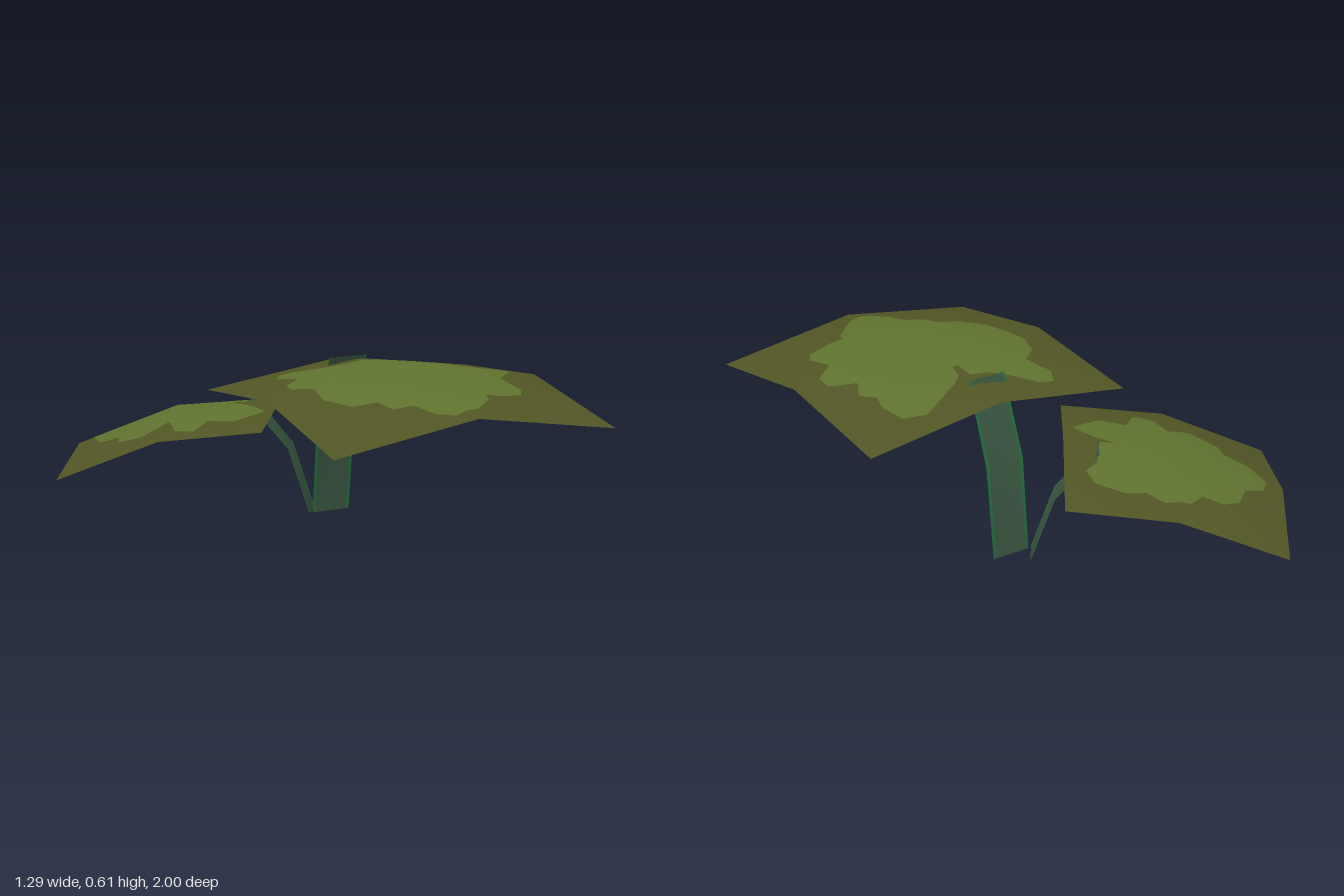
import * as THREE from 'three';

const paint = (name, color) => {
  const m = new THREE.MeshStandardMaterial({ color, side: THREE.DoubleSide });
  m.name = name;
  return m;
};

const mesh = (name, positions, index, material, normals) => {
  const g = new THREE.BufferGeometry();
  g.setAttribute('position', new THREE.Float32BufferAttribute(positions, 3));
  g.setIndex(index);
  if (normals) g.setAttribute('normal', new THREE.Float32BufferAttribute(normals, 3));
  else g.computeVertexNormals();
  const m = new THREE.Mesh(g, material);
  m.name = name;
  return m;
};

// Triangles from vertex 0 to a closed ring of n vertices, facing up
const fan = (n) => {
  const index = [];
  for (let i = 0; i < n; i++) index.push(0, 1 + ((i + 1) % n), 1 + i);
  return index;
};

// Folded leaf sheet: a centre point and eight rim points, with a pale patch on both faces
function makeLeaf(name, center, rim, outline, leafMat, patchMat) {
  const group = new THREE.Group();
  group.name = name;
  const blade = mesh('leafBlade', [center, ...rim].flat(), fan(rim.length), leafMat);
  group.add(blade);

  const P = blade.geometry.attributes.position, N = blade.geometry.attributes.normal;
  const at = (attr, i) => new THREE.Vector3().fromBufferAttribute(attr, i);

  // Point and normal on the folded sheet below (x, z)
  const drape = (x, z) => {
    const px = x - center[0], pz = z - center[2];
    for (let i = 0; i < rim.length; i++) {
      const i0 = 1 + i, i1 = 1 + ((i + 1) % rim.length);
      const c = at(P, 0), p = at(P, i0).sub(c), q = at(P, i1).sub(c);
      const det = p.x * q.z - p.z * q.x;
      const a = (px * q.z - pz * q.x) / det, b = (p.x * pz - p.z * px) / det;
      if (a < -1e-6 || b < -1e-6) continue;
      const mix = (attr) => at(attr, 0).multiplyScalar(1 - a - b)
        .addScaledVector(at(attr, i0), a).addScaledVector(at(attr, i1), b);
      return { point: mix(P), normal: mix(N).normalize() };
    }
    return { point: at(P, 0), normal: at(N, 0) };
  };

  // Subdivide the wavy outline so the patch follows the folds
  const samples = [drape(center[0], center[2])];
  const steps = 4;
  outline.forEach(([x, z], i) => {
    const [nx, nz] = outline[(i + 1) % outline.length];
    for (let s = 0; s < steps; s++) {
      const t = s / steps;
      samples.push(drape(x + (nx - x) * t, z + (nz - z) * t));
    }
  });
  const normals = samples.flatMap((s) => s.normal.toArray());
  for (const [part, lift] of [['upperPatch', 0.002], ['lowerPatch', -0.002]]) {
    const pos = samples.flatMap(({ point }) => [point.x, point.y + lift, point.z]);
    group.add(mesh(part, pos, fan(samples.length - 1), patchMat, normals));
  }
  return group;
}

// Bent ribbon stem: rows of [left, right] points, with a bright strip on each edge
function makeStem(name, rows, stemMat, edgeMat) {
  const group = new THREE.Group();
  group.name = name;
  const band = (part, t0, t1, material) => {
    const pos = [], index = [];
    rows.forEach(([l, r], i) => {
      const a = new THREE.Vector3(...l), b = new THREE.Vector3(...r);
      pos.push(...a.clone().lerp(b, t0).toArray(), ...a.clone().lerp(b, t1).toArray());
      if (i) {
        const k = 2 * i;
        index.push(k - 2, k - 1, k + 1, k - 2, k + 1, k);
      }
    });
    group.add(mesh(part, pos, index, material));
  };
  band('leftEdge', 0, 0.08, edgeMat);
  band('stemFace', 0.08, 0.92, stemMat);
  band('rightEdge', 0.92, 1, edgeMat);
  return group;
}

export function createModel() {
  const model = new THREE.Group();
  model.name = 'twoLeafPlant';
  const leafMat = paint('dark olive leaf', 0x525625);
  const patchMat = paint('pale green patch', 0x60742f);
  const stemMat = paint('grey green stem', 0x3a5641);
  const edgeMat = paint('bright green edge', 0x246b3c);

  // Large front leaf
  model.add(makeLeaf('largeLeaf', [0, 0.605, 0.35], [
    [-0.19, 0.47, -0.305], [0.23, 0.54, -0.07], [0.645, 0.473, 0.16], [0.41, 0.528, 0.575],
    [0.18, 0.45, 0.995], [-0.235, 0.525, 0.76], [-0.65, 0.45, 0.53], [-0.42, 0.527, 0.115],
  ], [
    [-0.05, -0.12], [0, -0.09], [0.03, 0], [0.07, 0.06], [0.13, 0.09], [0.1, 0.15], [0.12, 0.16],
    [0.15, 0.12], [0.2, 0.11], [0.38, 0.11], [0.43, 0.17], [0.4, 0.26], [0.36, 0.3], [0.37, 0.36],
    [0.31, 0.4], [0.36, 0.48], [0.33, 0.53], [0.22, 0.56], [0.18, 0.66], [0.13, 0.69], [0.04, 0.67],
    [0, 0.64], [-0.03, 0.67], [-0.16, 0.71], [-0.25, 0.69], [-0.27, 0.63], [-0.25, 0.54],
    [-0.3, 0.5], [-0.28, 0.43], [-0.34, 0.38], [-0.34, 0.27], [-0.29, 0.2], [-0.28, 0.1],
    [-0.22, 0.04], [-0.13, 0.02], [-0.11, -0.08],
  ], leafMat, patchMat));

  // Small back leaf
  model.add(makeLeaf('smallLeaf', [-0.05, 0.36, -0.55], [
    [0.105, 0.145, -1], [0.28, 0.285, -0.7], [0.435, 0.325, -0.39], [0.12, 0.395, -0.235],
    [-0.2, 0.36, -0.075], [-0.37, 0.32, -0.37], [-0.53, 0.18, -0.67], [-0.21, 0.215, -0.86],
  ], [
    [-0.19, -0.81], [-0.14, -0.82], [-0.08, -0.78], [0, -0.79], [0.06, -0.76], [0.09, -0.7],
    [0.16, -0.69], [0.22, -0.63], [0.21, -0.56], [0.25, -0.51], [0.26, -0.41], [0.22, -0.36],
    [0.16, -0.37], [0.05, -0.33], [0.03, -0.39], [0.02, -0.3], [0, -0.24], [-0.02, -0.2],
    [-0.14, -0.24], [-0.16, -0.33], [-0.26, -0.31], [-0.27, -0.38], [-0.2, -0.46], [-0.3, -0.5],
    [-0.3, -0.6], [-0.25, -0.64], [-0.26, -0.72],
  ], leafMat, patchMat));

  // Stems, from the ground up through the leaves
  model.add(makeStem('largeStem', [
    [[0.155, 0.005, -0.13], [0.275, 0.005, -0.065]],
    [[0.135, 0.315, -0.1], [0.255, 0.315, -0.03]],
    [[0.07, 0.57, 0], [0.19, 0.57, 0.065]],
  ], stemMat, edgeMat));
  model.add(makeStem('smallStem', [
    [[0.135, 0.005, -0.13], [0.225, 0, -0.172]],
    [[0.11, 0.225, -0.2], [0.2, 0.225, -0.245]],
    [[0.05, 0.385, -0.325], [0.145, 0.385, -0.372]],
  ], stemMat, edgeMat));

  return model;
}
